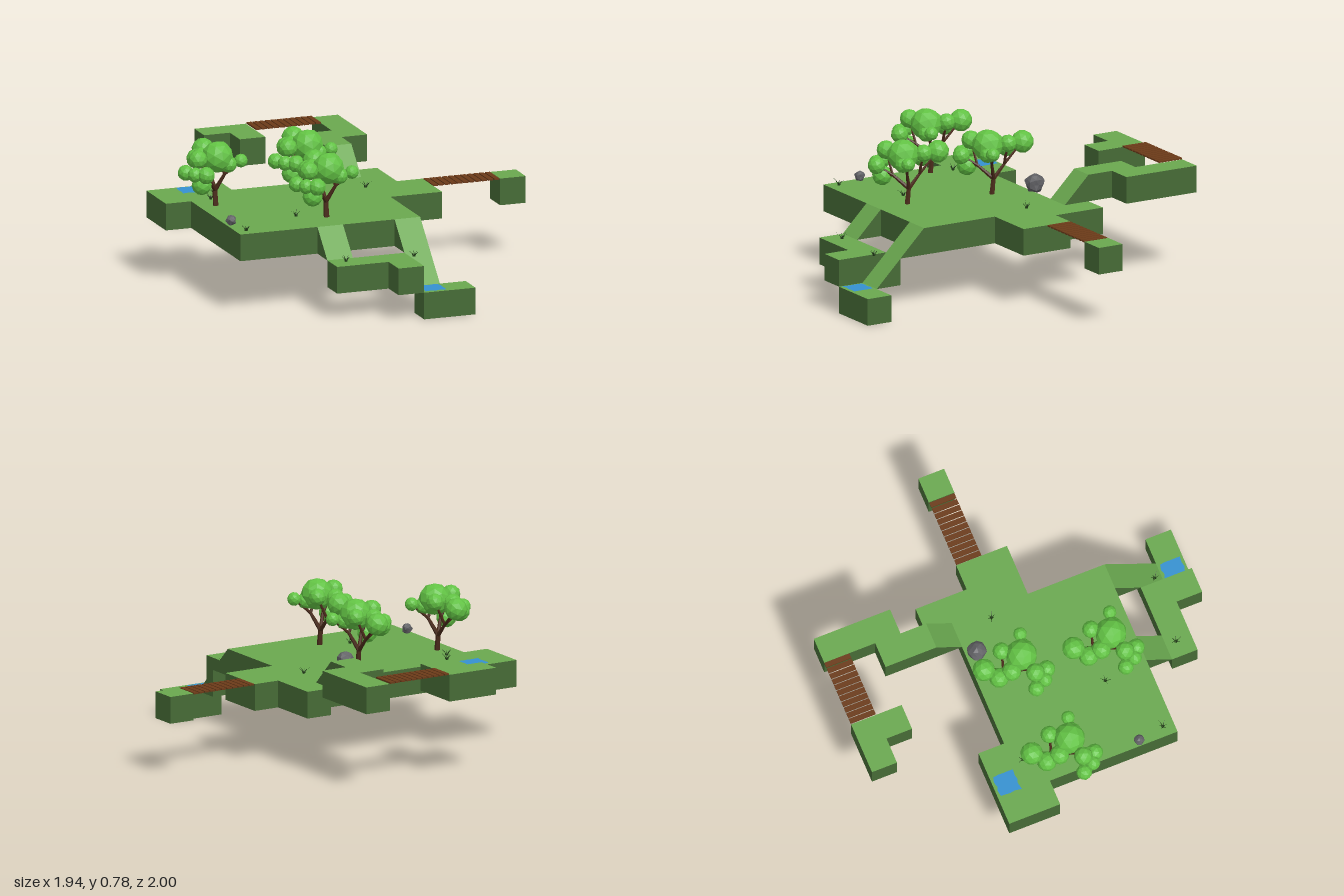
import * as THREE from 'three';

const mat = (color, extra = {}) => new THREE.MeshStandardMaterial({ color, flatShading: true, ...extra });
const grass = mat(0x6aa84f), earth = mat(0x466b36), water = mat(0x3590d0, { side: THREE.DoubleSide });
const wood = mat(0x6b3a18), bark = mat(0x4a2a1a), leaf = mat(0x62c244), stone = mat(0x606064);
const blade = mat(0x24401a, { side: THREE.DoubleSide });
const STEP = 0.143;

function add(parent, name, geometry, material, x = 0, y = 0, z = 0) {
  const mesh = new THREE.Mesh(geometry, material);
  mesh.name = name;
  mesh.position.set(x, y, z);
  parent.add(mesh);
  return mesh;
}

// Flat slab with a grassy top, from an outline of [x, z] corners
function slab(parent, name, outline, bottom) {
  const shape = new THREE.Shape(outline.map(([x, z]) => new THREE.Vector2(x, -z)));
  const geo = new THREE.ExtrudeGeometry(shape, { depth: STEP, bevelEnabled: false }).rotateX(-Math.PI / 2);
  const caps = geo.groups[0].count, sides = geo.groups[1].count;
  geo.clearGroups();
  geo.addGroup(0, caps / 2, 0);
  geo.addGroup(caps / 2, caps / 2, 1);
  geo.addGroup(caps, sides, 0);
  add(parent, name, geo, [earth, grass], 0, bottom, 0);
}

// Wedge descending towards the front
function ramp(parent, name, x, z, bottom) {
  const geo = new THREE.BoxGeometry(0.142, STEP, 0.144);
  const p = geo.attributes.position;
  for (let i = 0; i < p.count; i++) if (p.getY(i) > 0 && p.getZ(i) > 0) p.setY(i, -STEP / 2);
  geo.computeVertexNormals();
  add(parent, name, geo, [earth, earth, grass, earth, earth, earth], x, bottom + STEP / 2, z);
}

function bridge(parent, name, x0, x1, y, z) {
  const group = new THREE.Group(), n = 11, pitch = (x1 - x0) / n;
  group.name = name;
  for (let i = 0; i < n; i++)
    add(group, 'plank', new THREE.BoxGeometry(pitch * 0.8, 0.008, 0.14), wood, x0 + pitch * (i + 0.5), y, z);
  parent.add(group);
}

// Slightly ragged square of water
function pond(parent, x, y, z) {
  const pts = [];
  for (let i = 0; i < 16; i++) {
    const a = (i / 16) * Math.PI * 2, c = Math.cos(a), s = Math.sin(a);
    const r = (0.057 + 0.004 * Math.sin(i * 2.7)) / Math.max(Math.abs(c), Math.abs(s));
    pts.push(new THREE.Vector2(c * r, s * r));
  }
  add(parent, 'pond', new THREE.ShapeGeometry(new THREE.Shape(pts)).rotateX(-Math.PI / 2), water, x, y + 0.003, z);
}

function limb(parent, name, a, b, r0, r1) {
  const from = new THREE.Vector3(...a), to = new THREE.Vector3(...b), dir = to.clone().sub(from);
  const mesh = add(parent, name, new THREE.CylinderGeometry(r1, r0, dir.length(), 6), bark);
  mesh.position.copy(from).add(to).multiplyScalar(0.5);
  mesh.quaternion.setFromUnitVectors(new THREE.Vector3(0, 1, 0), dir.normalize());
}

// Foliage balls: x, y, z, radius, relative to the tree's foot
const BALLS = [
  [0, 0.265, 0, 0.084], [-0.12, 0.27, 0.03, 0.05], [-0.18, 0.2, 0.01, 0.042], [-0.11, 0.14, 0.06, 0.053],
  [-0.1, 0.2, 0.1, 0.046], [-0.15, 0.2, 0.07, 0.04], [0.115, 0.245, 0.04, 0.036], [0.055, 0.275, -0.09, 0.046],
  [0, 0.255, -0.21, 0.06], [-0.06, 0.225, -0.15, 0.053], [-0.06, 0.25, -0.08, 0.052], [0.05, 0.23, 0.03, 0.045],
];

function tree(parent, x, y, z) {
  const group = new THREE.Group();
  group.name = 'tree';
  group.position.set(x, y, z);
  const fork = [0, 0.08, -0.035];
  limb(group, 'trunk', [0, -0.005, -0.025], fork, 0.015, 0.012);
  const knots = [[-0.055, 0.15, 0.03], [0, 0.15, -0.1], [0.04, 0.17, 0]];
  knots.forEach((k) => limb(group, 'branch', fork, k, 0.012, 0.008));
  [[0, 3], [0, 1], [0, 4], [1, 8], [1, 9], [1, 7], [2, 6], [2, 0]].forEach(([k, b]) =>
    limb(group, 'twig', knots[k], BALLS[b].slice(0, 3), 0.008, 0.005));
  BALLS.forEach(([bx, by, bz, r], i) => {
    add(group, 'foliage', new THREE.IcosahedronGeometry(r, 1), leaf, bx, by, bz).rotation.set(i, i * 2, 0);
  });
  parent.add(group);
}

function rock(parent, x, y, z, r) {
  const geo = new THREE.IcosahedronGeometry(r, 1), p = geo.attributes.position, v = new THREE.Vector3();
  for (let i = 0; i < p.count; i++) {
    v.fromBufferAttribute(p, i);
    const n = v.clone().divideScalar(r);
    v.multiplyScalar(0.96 + 0.13 * Math.sin(n.x * 5 + n.y * 7 + n.z * 3));
    p.setXYZ(i, v.x, v.y, v.z);
  }
  geo.computeVertexNormals();
  add(parent, 'rock', geo, stone, x, y, z);
}

// Tuft of bent, tapering blades
function tuft(parent, x, y, z, turn) {
  const group = new THREE.Group();
  group.name = 'grassTuft';
  group.position.set(x, y, z);
  for (let i = 0; i < 6; i++) {
    const geo = new THREE.ConeGeometry(0.004, 0.034, 3, 3).translate(0, 0.017, 0);
    const p = geo.attributes.position, lean = 0.018 + 0.007 * (i % 3);
    for (let j = 0; j < p.count; j++) {
      const t = p.getY(j) / 0.034;
      p.setX(j, p.getX(j) + lean * t * t + 0.004);
      p.setY(j, p.getY(j) * (0.8 + 0.1 * (i % 3)));
    }
    geo.computeVertexNormals();
    add(group, 'blade', geo, blade).rotation.y = turn + i * 1.05;
  }
  parent.add(group);
}

export function createModel() {
  const model = new THREE.Group();
  model.name = 'floatingIsland';
  const [L1, L2, L3, L4] = [1, 2, 3, 4].map((n) => n * STEP);

  // Ground slabs
  slab(model, 'mainPlatform', [[-0.97, -0.43], [-0.55, -0.43], [-0.55, -0.287], [0.167, -0.287], [0.167, -0.43],
    [0.31, -0.43], [0.31, -0.144], [0.453, -0.144], [0.453, 0.14], [0.167, 0.14], [0.167, 0.57], [-0.83, 0.57],
    [-0.83, -0.145], [-0.97, -0.145]], L2);
  slab(model, 'eastBlock', [[0.828, -0.144], [0.97, -0.144], [0.97, 0], [0.828, 0]], L2);
  slab(model, 'backPath', [[0.025, -0.43], [0.025, -0.715], [0.167, -0.715], [0.167, -1], [0.31, -1],
    [0.31, -0.573], [0.167, -0.573], [0.167, -0.43]], L3);
  slab(model, 'backCorner', [[-0.485, -1], [-0.2, -1], [-0.2, -0.717], [-0.342, -0.717], [-0.342, -0.86],
    [-0.485, -0.86]], L3);
  slab(model, 'frontLedge', [[-0.403, 0.714], [0.025, 0.714], [0.025, 1], [-0.117, 1], [-0.117, 0.857],
    [-0.403, 0.857]], L1);
  slab(model, 'lowBlock', [[0.025, 0.857], [0.31, 0.857], [0.31, 1], [0.025, 1]], 0);

  // Ramps
  ramp(model, 'backRamp', 0.096, -0.358, L3);
  ramp(model, 'frontLeftRamp', -0.332, 0.642, L2);
  ramp(model, 'longRampUpper', 0.096, 0.642, L2);
  ramp(model, 'longRampLower', 0.096, 0.785, L1);

  // Plank bridges
  bridge(model, 'eastBridge', 0.453, 0.828, L3 - 0.002, -0.072);
  bridge(model, 'backBridge', -0.2, 0.167, L4 + 0.004, -0.931);

  // Ponds, trees, rocks and grass
  pond(model, -0.757, L3, -0.357);
  pond(model, 0.097, L1, 0.928);
  [[-0.74, 0], [-0.22, -0.055], [-0.285, 0.42]].forEach(([x, z]) => tree(model, x, L3, z));
  rock(model, -0.05, 0.503, -0.235, 0.052);
  rock(model, -0.805, L3 + 0.022, 0.365, 0.028);
  [[-0.67, L3, -0.23], [0.115, L3, -0.085], [-0.775, L3, 0.51], [-0.43, L3, 0.33], [-0.32, L2, 0.77],
    [0.045, L2, 0.8], [-0.72, L3, -0.15]].forEach(([x, y, z], i) => tuft(model, x, y, z, i * 0.7));
  return model;
}
